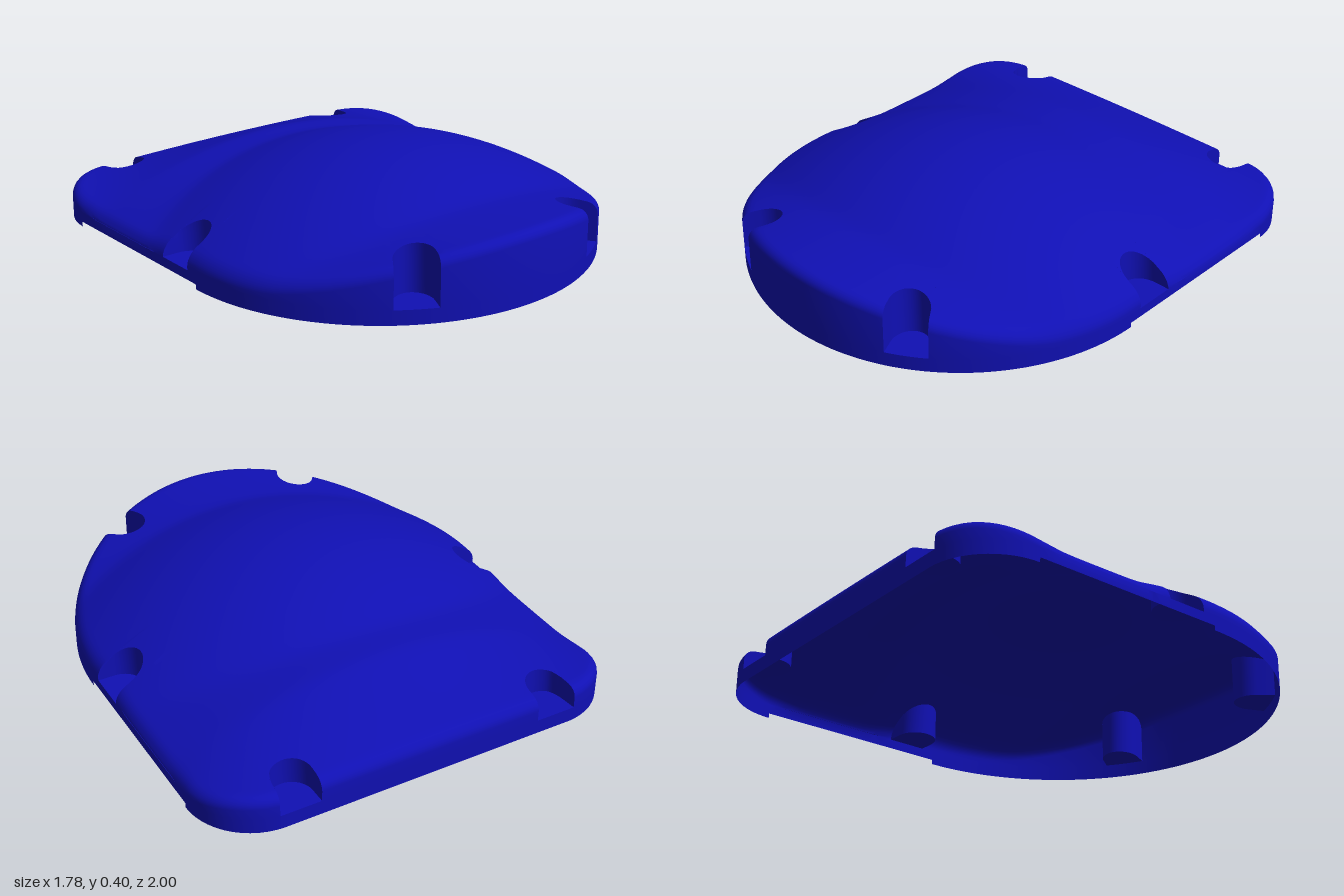
import * as THREE from 'three';
import { toCreasedNormals } from 'three/addons/utils/BufferGeometryUtils.js';

// Plan outline: front half circle, straight sides, rounded back corners
const R = 0.89, FZ = 0.11, CR = 0.27, BACK = -1;
const S1 = R * Math.PI / 2;            // end of the front arc
const S2 = S1 + (FZ - BACK - CR);      // end of the straight side
const S3 = S2 + CR * Math.PI / 2;      // end of the back corner
const S4 = S3 + (R - CR);              // middle of the back edge

// Screw pockets, measured along the outline
const POCKETS = [0.475, S1 + 0.14, S3 + 0.06];
const PW = 0.085, PD = 0.07, FLOOR = 0.06;
const BAND = 0.23, FILLET = 0.04;

// Point and outward normal at length s along the half outline
function outline(s) {
  if (s <= S1) {
    const a = s / R;
    return { x: R * Math.sin(a), z: FZ + R * Math.cos(a), nx: Math.sin(a), nz: Math.cos(a) };
  }
  if (s <= S2) return { x: R, z: FZ - (s - S1), nx: 1, nz: 0 };
  if (s <= S3) {
    const a = (s - S2) / CR, c = Math.cos(a), n = Math.sin(a);
    return { x: R - CR + CR * c, z: BACK + CR - CR * n, nx: c, nz: -n };
  }
  return { x: S4 - s, z: BACK, nx: 0, nz: -1 };
}

// Spherical dome blended into an arched ramp that flattens to the back edge
function height(x, z, d) {
  const dome = 0.4 - (x * x + (z - FZ) ** 2) / 2.78;
  const u = (-0.6 - z) / 0.4;
  const t = (u + Math.sqrt(u * u + 0.006)) / 2;
  const ramp = (1 - t) * (0.288 - 0.26 * x * x) + t * 0.145;
  const k = 0.014;
  const top = (dome + ramp + Math.sqrt((dome - ramp) ** 2 + k * k)) / 2;
  const e = Math.max(0, FILLET - d);
  return Math.max(FLOOR, top - (FILLET - Math.sqrt(FILLET * FILLET - e * e)));
}

// Columns along the half outline, doubled at pocket sides and rim steps
function halfColumns() {
  const cols = [];
  const add = (s, depth) => cols.push({ s, depth, low: s > S1 && s < S2 ? 0.02 : 0 });
  for (let i = 0; i <= 100; i++) {
    const s = S4 * i / 100;
    if (!POCKETS.some((p) => Math.abs(s - p) < PW + 0.004)) add(s, 0);
  }
  for (const s of [S1, S2]) { add(s - 0.0005, 0); add(s + 0.0005, 0); }
  for (const p of POCKETS) {
    add(p - PW - 0.0002, 0);
    for (let i = 0; i <= 18; i++) {
      const a = Math.PI * i / 18;
      add(p - PW * Math.cos(a), PD + PW * Math.sin(a));
    }
    add(p + PW + 0.0002, 0);
  }
  return cols.sort((a, b) => a.s - b.s);
}

// Vertices of one column: centre, out over the top, down the pocket, rim
function columnPoints({ s, depth, low }, side) {
  const o = outline(s), pts = [];
  const at = (d) => [o.x - o.nx * d, o.z - o.nz * d];
  const put = (x, y, z) => pts.push([side * x, y, z]);
  const [bx, bz] = at(BAND);
  const RAYS = 34, STRIP = 12;
  for (let i = 0; i < RAYS; i++) {
    const x = bx * i / RAYS, z = bz * i / RAYS;
    put(x, height(x, z, BAND), z);
  }
  for (let i = 0; i <= STRIP; i++) {
    const d = depth + (BAND - depth) * (1 - i / STRIP) ** 2;
    const [x, z] = at(d);
    put(x, height(x, z, d), z);
  }
  const [qx, qz] = at(depth);
  put(qx, FLOOR, qz);
  put(o.x, FLOOR, o.z);
  put(o.x, low, o.z);
  return pts;
}

function shellGeometry() {
  const half = halfColumns();
  const cols = [
    ...half.map((c) => columnPoints(c, 1)),
    ...half.slice().reverse().map((c) => columnPoints(c, -1)),
  ];
  const pos = [];
  const a = new THREE.Vector3(), b = new THREE.Vector3(), c = new THREE.Vector3();
  const tri = (p, q, r) => {
    a.fromArray(p);
    b.fromArray(q).sub(a);
    c.fromArray(r).sub(a);
    if (b.cross(c).length() > 1e-9) pos.push(...p, ...q, ...r);
  };
  cols.forEach((col, j) => {
    const next = cols[(j + 1) % cols.length];
    for (let i = 0; i < col.length - 1; i++) {
      tri(col[i], col[i + 1], next[i + 1]);
      tri(col[i], next[i + 1], next[i]);
    }
  });
  const g = new THREE.BufferGeometry();
  g.setAttribute('position', new THREE.Float32BufferAttribute(pos, 3));
  return toCreasedNormals(g, 0.6);
}

export function createModel() {
  const group = new THREE.Group();
  group.name = 'domedCover';
  // Thin open shell, visible from inside as well
  const material = new THREE.MeshStandardMaterial({ color: 0x1010b4, side: THREE.DoubleSide });
  const shell = new THREE.Mesh(shellGeometry(), material);
  shell.name = 'coverShell';
  group.add(shell);
  return group;
}
